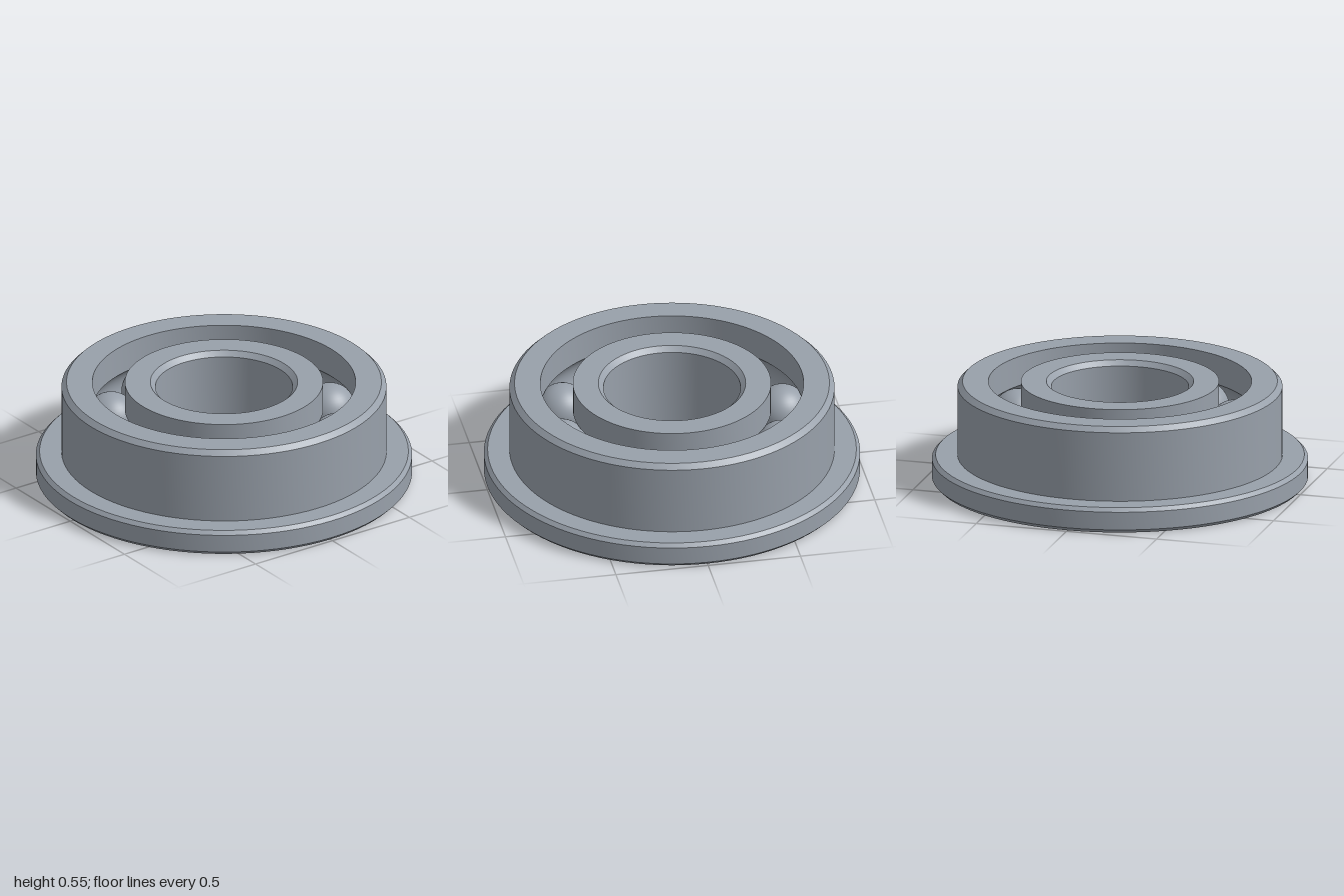
import * as THREE from 'three';
import { toCreasedNormals } from 'three/addons/utils/BufferGeometryUtils.js';

const HEIGHT = 0.545;
const MID = HEIGHT / 2;
const PITCH = 0.614; // radius of the circle of ball centres
const BALL_RADIUS = 0.139;
const BALL_COUNT = 10;

// Points of a raceway groove in a wall at wallRadius, running up (dir 1) or down (dir -1)
function groove(wallRadius, dir) {
  const r = BALL_RADIUS + 0.002;
  const side = Math.sign(wallRadius - PITCH);
  const half = Math.acos(Math.abs(wallRadius - PITCH) / r);
  const points = [];
  const steps = 14;
  for (let i = 0; i <= steps; i++) {
    const a = dir * half * (2 * i / steps - 1);
    points.push([PITCH + side * r * Math.cos(a), MID + r * Math.sin(a)]);
  }
  return points;
}

// Closed profile (counter-clockwise in radius, height) turned about the y axis
function turnedRing(name, profile, material) {
  const points = [...profile, profile[0]].map(([r, y]) => new THREE.Vector2(r, y));
  const geometry = toCreasedNormals(new THREE.LatheGeometry(points, 96), Math.PI / 6);
  const mesh = new THREE.Mesh(geometry, material);
  mesh.name = name;
  return mesh;
}

export function createModel() {
  const steel = new THREE.MeshStandardMaterial({ color: 0x98a0aa });
  steel.name = 'steel';

  const group = new THREE.Group();
  group.name = 'flangedBallBearing';

  // Outer ring with chamfered flange and inner raceway
  group.add(turnedRing('outerRing', [
    [0.70, 0], [0.98, 0], [1, 0.02], [1, 0.118], [0.98, 0.138],
    [0.864, 0.138], [0.864, HEIGHT - 0.027], [0.837, HEIGHT], [0.70, HEIGHT],
    ...groove(0.70, -1),
  ], steel));

  // Inner ring with chamfered bore and outer raceway
  group.add(turnedRing('innerRing', [
    [0.392, 0], [0.527, 0],
    ...groove(0.527, 1),
    [0.527, HEIGHT], [0.392, HEIGHT], [0.365, HEIGHT - 0.027], [0.365, 0.027],
  ], steel));

  // Balls spaced evenly between the rings
  const balls = new THREE.Group();
  balls.name = 'balls';
  const ballGeometry = new THREE.SphereGeometry(BALL_RADIUS, 40, 24);
  for (let i = 0; i < BALL_COUNT; i++) {
    const a = THREE.MathUtils.degToRad(24.3) + i * 2 * Math.PI / BALL_COUNT;
    const ball = new THREE.Mesh(ballGeometry, steel);
    ball.name = `ball${i + 1}`;
    ball.position.set(PITCH * Math.cos(a), MID, -PITCH * Math.sin(a));
    balls.add(ball);
  }
  group.add(balls);

  return group;
}
